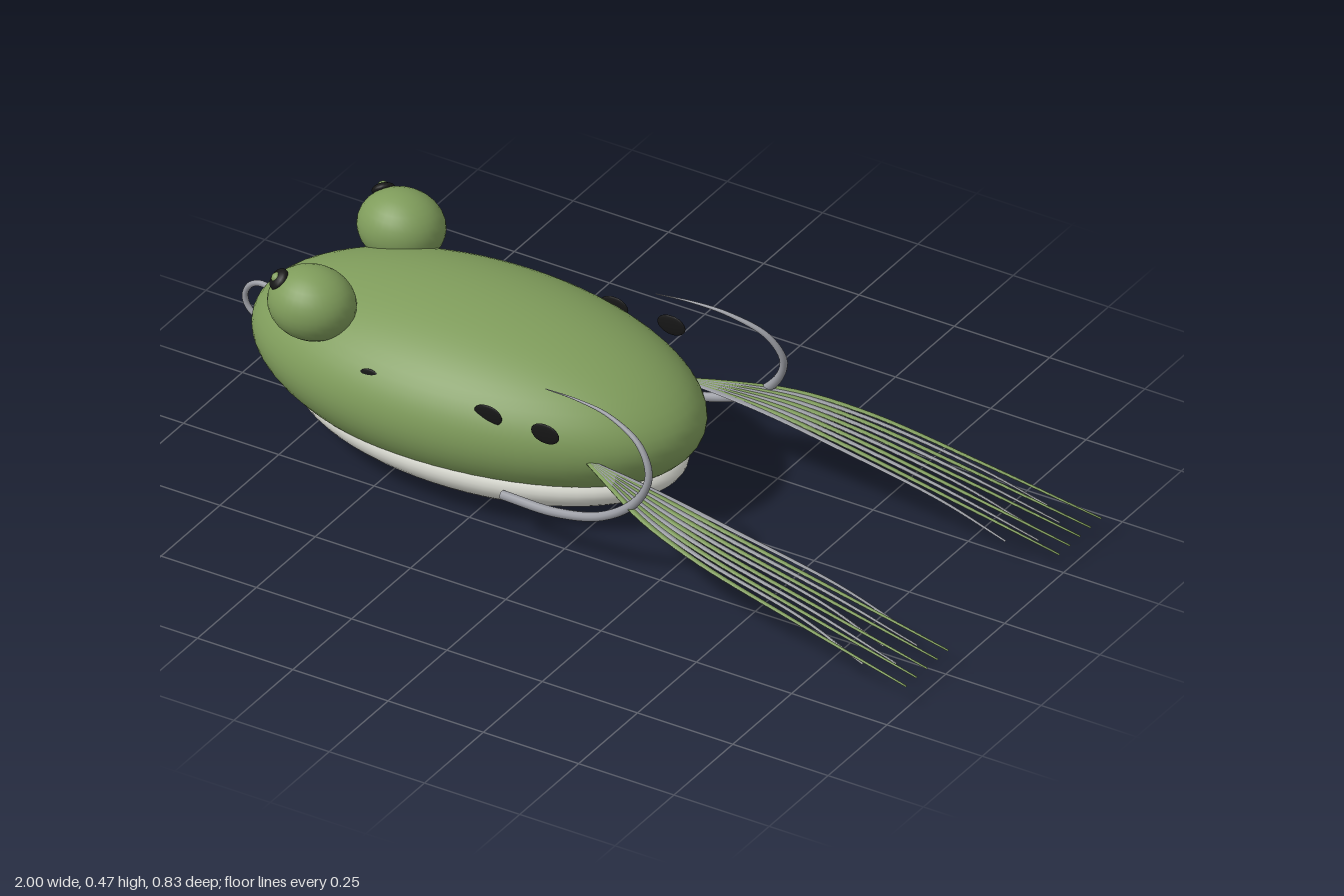
import * as THREE from 'three';

const mat = (name, color) => {
  const m = new THREE.MeshStandardMaterial({ color });
  m.name = name;
  return m;
};

export function createModel() {
  const green = mat('frog green', 0x7f9c5b);
  const cream = mat('belly white', 0xe2e3da);
  const steel = mat('steel grey', 0x9a9ca3);
  const black = mat('black', 0x161616);

  const root = new THREE.Group();
  root.name = 'frogLure';

  const add = (name, geometry, material, parent = root) => {
    const mesh = new THREE.Mesh(geometry, material);
    mesh.name = name;
    parent.add(mesh);
    return mesh;
  };

  const ellipsoid = (name, material, center, radii, parent, seg = 32) => {
    const mesh = add(name, new THREE.SphereGeometry(1, seg, seg / 2), material, parent);
    mesh.position.set(...center);
    mesh.scale.set(...radii);
    return mesh;
  };

  // Tube whose radius follows taper(u), optionally flattened in y
  const taperedTube = (points, radius, taper, flat = 1, segs = 40, sides = 8) => {
    const curve = new THREE.CatmullRomCurve3(points.map((p) => new THREE.Vector3(...p)));
    const geo = new THREE.TubeGeometry(curve, segs, radius, sides);
    const pos = geo.attributes.position;
    const v = new THREE.Vector3();
    for (let i = 0; i <= segs; i++) {
      const c = curve.getPointAt(i / segs);
      const k = taper(i / segs);
      for (let j = 0; j <= sides; j++) {
        const n = i * (sides + 1) + j;
        v.fromBufferAttribute(pos, n).sub(c).multiplyScalar(k);
        pos.setXYZ(n, c.x + v.x, c.y + v.y * flat, c.z + v.z);
      }
    }
    if (flat !== 1) geo.computeVertexNormals();
    return geo;
  };

  // Body and belly
  ellipsoid('body', green, [-0.378, 0.217, 0], [0.567, 0.207, 0.31], root, 64);
  ellipsoid('belly', cream, [-0.345, 0.11, 0], [0.49, 0.109, 0.281], root, 64);

  // Line eyelet on the nose
  add('noseEyelet', new THREE.TorusGeometry(0.045, 0.007, 10, 36), steel).position.set(-0.948, 0.207, 0);

  for (const s of [1, -1]) {
    const side = new THREE.Group();
    side.name = s > 0 ? 'leftSide' : 'rightSide';
    root.add(side);

    // Eye with a pupil and a small raised centre
    ellipsoid('eye', green, [-0.7, 0.387, 0.19 * s], [0.104, 0.085, 0.091], side);
    const out = new THREE.Vector3(-0.5, 0.65, 0.5 * s).normalize();
    const pupil = new THREE.Group();
    pupil.name = 'pupil';
    pupil.position.set(-0.767, 0.443, 0.222 * s);
    pupil.quaternion.setFromUnitVectors(new THREE.Vector3(0, 0, 1), out);
    side.add(pupil);
    ellipsoid('pupilDisc', black, [0, 0, 0], [0.027, 0.027, 0.014], pupil, 20);
    ellipsoid('pupilCentre', green, [0, 0, 0.009], [0.012, 0.012, 0.01], pupil, 16);

    // Flank spots
    for (const [x, rx, ry] of [[-0.04, 0.037, 0.025], [-0.19, 0.037, 0.025], [-0.5, 0.026, 0.019]]) {
      ellipsoid('flankSpot', black, [x, 0.3, 0.268 * s], [rx, ry, 0.004], side, 20);
    }

    // Hook: shank under the flank, bending up and back to a point
    const hookPath = [
      [-0.15, 0.105, 0.272], [0, 0.117, 0.288], [0.13, 0.155, 0.296], [0.215, 0.22, 0.294],
      [0.243, 0.29, 0.286], [0.21, 0.352, 0.271], [0.12, 0.39, 0.252], [0.03, 0.398, 0.242],
      [-0.06, 0.394, 0.234],
    ].map(([x, y, z]) => [x, y, z * s]);
    add('hook', taperedTube(hookPath, 0.011, (u) => Math.min(1, 0.08 + (1 - u) * 1.7), 1, 64, 10), steel, side);

    // Skirt leg: fan of flat strands in alternating colours
    const leg = new THREE.Group();
    leg.name = 'skirtLeg';
    side.add(leg);
    for (let i = 0; i < 10; i++) {
      const endX = i % 2 ? 0.998 : i % 4 ? 0.93 : 0.87;
      const spread = 0.012 + 0.0222 * i;
      const path = [
        [0.03, 0.216, 0], [0.13, 0.208, 0.27], [0.25, 0.194, 0.56],
        [0.42, 0.166, 0.77], [0.7, 0.113, 0.9], [endX, 0.055 + (0.998 - endX) * 0.04, 1],
      ].map(([x, y, f]) => [x, y, (0.202 + spread * f) * s]);
      add('strand', taperedTube(path, 0.008, (u) => 1 - 0.6 * u * u, 0.35, 28, 6), i % 2 ? green : steel, leg);
    }
  }
  return root;
}
